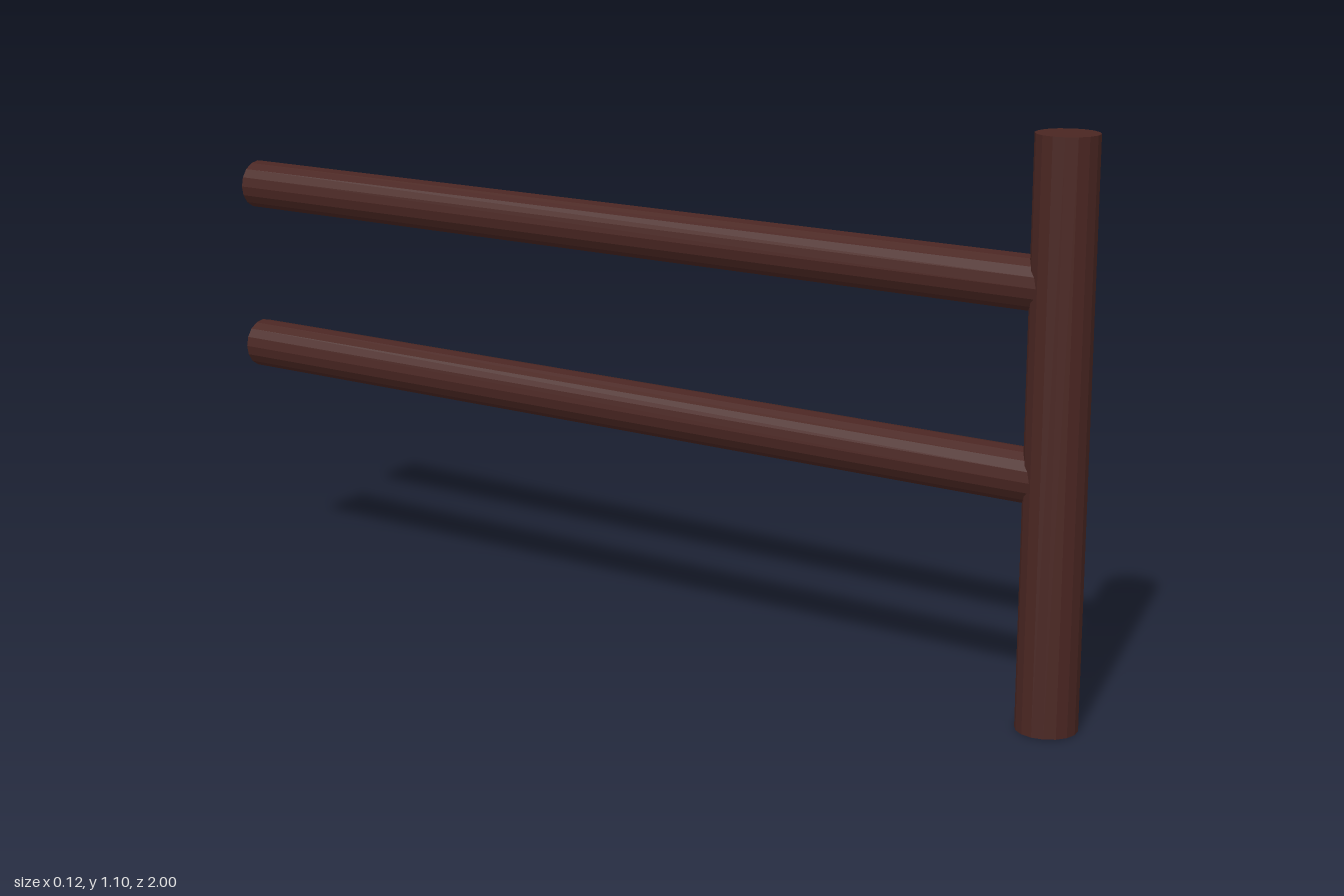
import * as THREE from 'three';

export function createModel() {
  const group = new THREE.Group();
  group.name = 'railFence';
  const wood = new THREE.MeshStandardMaterial({ color: 0x4a2622, flatShading: true });

  const SIDES = 16;
  const POST_RADIUS = 0.058;
  const POST_HEIGHT = 1.096;
  const POST_Z = 1 - POST_RADIUS;
  const RAIL_RADIUS = 0.051;

  const addPole = (name, radius, length) => {
    const pole = new THREE.Mesh(new THREE.CylinderGeometry(radius, radius, length, SIDES), wood);
    pole.name = name;
    group.add(pole);
    return pole;
  };

  // Upright post at the front end
  addPole('post', POST_RADIUS, POST_HEIGHT).position.set(0, POST_HEIGHT / 2, POST_Z);

  // Two round rails running back from the middle of the post
  const railLength = POST_Z + 1;
  for (const [name, y] of [['lowerRail', 0.471], ['upperRail', 0.824]]) {
    const rail = addPole(name, RAIL_RADIUS, railLength);
    rail.rotation.x = Math.PI / 2;
    rail.position.set(0, y, POST_Z - railLength / 2);
  }

  return group;
}
